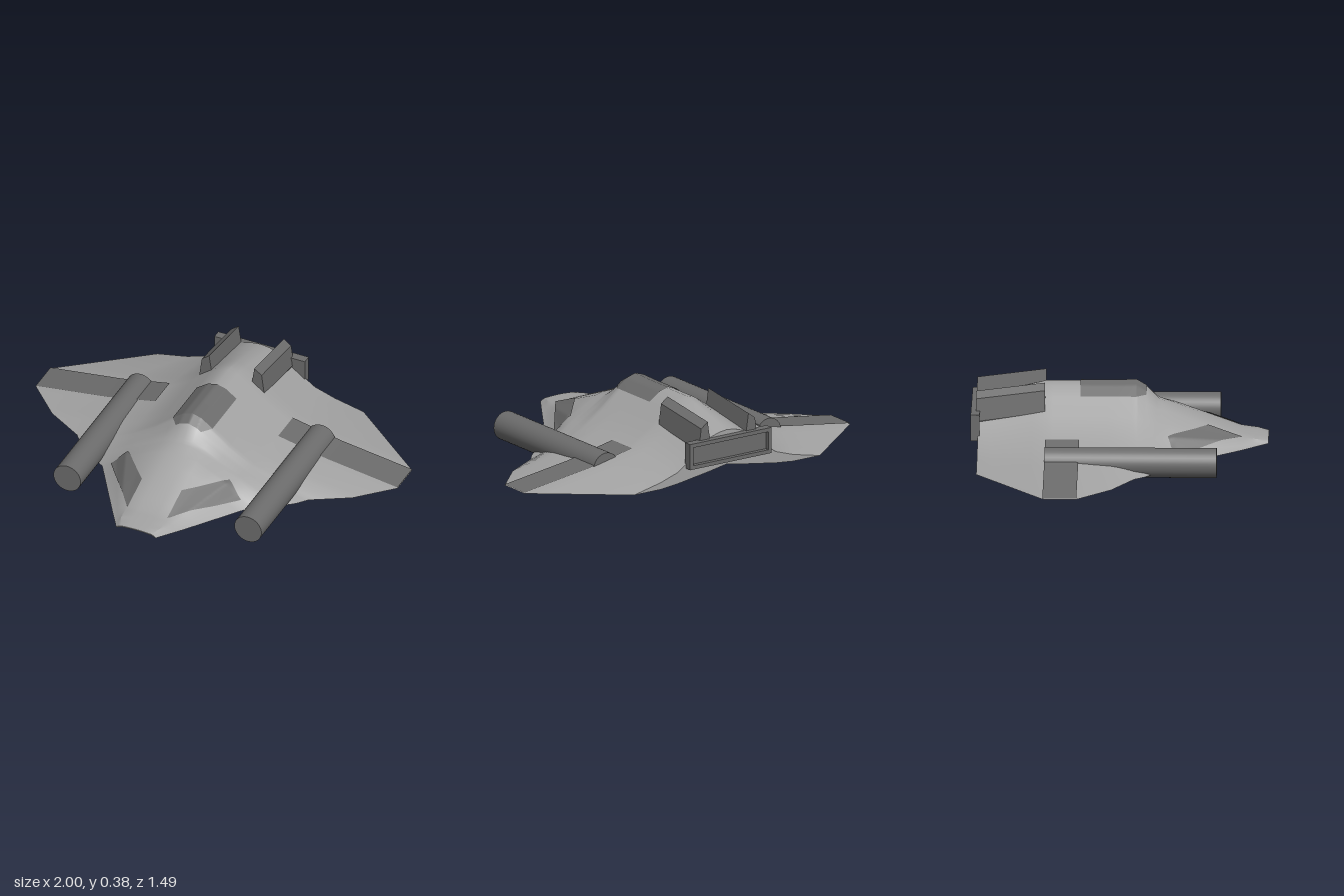
import * as THREE from 'three';
import { toCreasedNormals } from 'three/addons/utils/BufferGeometryUtils.js';

// Hull stations, rear to nose: z, half width, rim y, ridge y, shoulder y, knee x, knee y
const STATIONS = [
  [-0.71, 0.57, 0.03, 0.27, 0.245, 0.3, 0.1],
  [-0.37, 1, 0.03, 0.357, 0.3, 0.34, 0.142],
  [-0.2, 1, 0.03, 0.357, 0.3, 0.34, 0.142],
  [-0.03, 0.83, 0.03, 0.357, 0.3, 0.34, 0.142],
  [0.08, 0.64, 0.03, 0.36, 0.3, 0.33, 0.142],
  [0.13, 0.6, 0.03, 0.33, 0.27, 0.32, 0.14],
  [0.19, 0.53, 0.03, 0.268, 0.24, 0.31, 0.14],
  [0.27, 0.41, 0.035, 0.235, 0.22, 0.28, 0.14],
  [0.6, 0.2, 0.054, 0.105, 0.1, 0.15, 0.085],
  [0.74, 0.11, 0.066, 0.085, 0.081, 0.1, 0.075],
];
const lerp = THREE.MathUtils.lerp;

// Half section at any z: seven [x, y] points from the ridge to the rim
function sectionAt(z) {
  let k = 0;
  while (k < STATIONS.length - 2 && z > STATIONS[k + 1][0]) k++;
  const a = STATIONS[k], b = STATIONS[k + 1];
  const t = THREE.MathUtils.clamp((z - a[0]) / (b[0] - a[0]), 0, 1);
  const [, w, rim, ridge, shoulder, kneeX, kneeY] = a.map((v, i) => lerp(v, b[i], t));
  const shoulderX = Math.min(0.11, 0.75 * w);
  return [
    [0, ridge],
    [shoulderX * 0.45, lerp(ridge, shoulder, 0.25)],
    [shoulderX, shoulder],
    [lerp(shoulderX, kneeX, 0.42), lerp(shoulder, kneeY, 0.47)],
    [kneeX, kneeY],
    [lerp(kneeX, w, 0.4), lerp(kneeY, rim, 0.5)],
    [w, rim],
  ];
}

// Height of the upper hull
function topY(x, z) {
  const s = sectionAt(z);
  const ax = Math.abs(x);
  for (let i = 0; i < s.length - 1; i++) {
    if (ax <= s[i + 1][0]) return lerp(s[i][1], s[i + 1][1], (ax - s[i][0]) / (s[i + 1][0] - s[i][0]));
  }
  return s[s.length - 1][1];
}

// Arched underside
function bottomY(x, top) {
  const arch = x < 0.11 ? lerp(0.09, 0.07, x / 0.11) : lerp(0.07, 0.03, Math.min(1, (x - 0.11) / 0.26));
  return Math.min(arch, top - 0.006);
}

function makeGeometry(positions, index) {
  const g = new THREE.BufferGeometry();
  g.setAttribute('position', new THREE.Float32BufferAttribute(positions, 3));
  g.setIndex(index);
  return g;
}

// Hull lofted through closed rings, with end caps
function hullGeometry() {
  const positions = [], index = [], zs = [], steps = 5, n = 24;
  for (let k = 0; k < STATIONS.length - 1; k++)
    for (let j = 0; j < steps; j++) zs.push(lerp(STATIONS[k][0], STATIONS[k + 1][0], j / steps));
  zs.push(STATIONS[STATIONS.length - 1][0]);
  for (const z of zs) {
    const s = sectionAt(z);
    for (let j = 0; j < n; j++) {
      const c = j <= 12 ? 6 - j : j - 18;
      const [x, y] = s[Math.abs(c)];
      positions.push(Math.sign(c) * x, j <= 12 ? y : bottomY(x, y), z);
    }
  }
  const quad = (a, b, c, d) => index.push(a, b, c, a, c, d);
  for (let k = 0; k < zs.length - 1; k++)
    for (let i = 0; i < n; i++) {
      const i2 = (i + 1) % n;
      quad(k * n + i, k * n + i2, (k + 1) * n + i2, (k + 1) * n + i);
    }
  const last = (zs.length - 1) * n;
  const under = (j) => (n - j) % n;
  for (let j = 0; j < 12; j++) {
    quad(last + j, last + j + 1, last + under(j + 1), last + under(j));
    quad(under(j), under(j + 1), j + 1, j);
  }
  return toCreasedNormals(makeGeometry(positions, index), 0.6);
}

// Thin panel draped over the hull between four [x, z] corners
function panelGeometry([a, b, c, d], side = 1) {
  const positions = [], index = [], n = 22;
  for (let v = 0; v <= n; v++)
    for (let u = 0; u <= n; u++) {
      const at = (m) => lerp(lerp(a[m], b[m], u / n), lerp(d[m], c[m], u / n), v / n);
      const x = at(0), z = at(1);
      positions.push(x * side, topY(x, z) + 0.005, z);
      if (u < n && v < n) {
        const p = v * (n + 1) + u, q = p + n + 1;
        if (side > 0) index.push(p, q, q + 1, p, q + 1, p + 1);
        else index.push(p, q + 1, q, p, p + 1, q + 1);
      }
    }
  const g = makeGeometry(positions, index);
  g.computeVertexNormals();
  return g;
}

// Upright tail fin whose top falls toward the rear
function finGeometry(side) {
  const outline = [[0.125, 0.38], [0.165, 0.35], [0.18, 0.24], [0.16, 0.19], [0.12, 0.19], [0.11, 0.28]];
  const shape = new THREE.Shape(outline.map(([x, y]) => new THREE.Vector2(x * side, y)));
  const g = new THREE.ExtrudeGeometry(shape, { depth: 0.345, bevelEnabled: false });
  g.translate(0, 0, -0.72);
  const p = g.attributes.position;
  for (let i = 0; i < p.count; i++) p.setY(i, p.getY(i) + 0.13 * (p.getZ(i) + 0.375));
  g.computeVertexNormals();
  return g;
}

function rectangle(Type, w, h) {
  return new Type([[-w, -h], [w, -h], [w, h], [-w, h]].map(([x, y]) => new THREE.Vector2(x, y)));
}

export function createModel() {
  const model = new THREE.Group();
  const hullGrey = new THREE.MeshStandardMaterial({ color: 0xa2a2a2, side: THREE.DoubleSide });
  hullGrey.name = 'hull grey';
  const panelGrey = new THREE.MeshStandardMaterial({ color: 0x6c6c6c, side: THREE.DoubleSide });
  panelGrey.name = 'panel grey';
  const add = (name, geometry, material) => {
    const mesh = new THREE.Mesh(geometry, material);
    mesh.name = name;
    model.add(mesh);
    return mesh;
  };

  add('hull', hullGeometry(), hullGrey);

  // Canopy: straight rear part and tapered front
  add('canopyRear', panelGeometry([[-0.11, -0.2], [0.11, -0.2], [0.11, 0.08], [-0.11, 0.08]]), panelGrey);
  add('canopyFront', panelGeometry([[-0.11, 0.08], [0.11, 0.08], [0.07, 0.13], [-0.07, 0.13]]), panelGrey);

  for (const side of [1, -1]) {
    const name = side > 0 ? 'left' : 'right';
    add(name + 'NosePanel', panelGeometry([[0.11, 0.44], [0.28, 0.24], [0.36, 0.275], [0.11, 0.61]], side), panelGrey);
    add(name + 'WingStripe', panelGeometry([[0.34, -0.37], [1, -0.37], [1, -0.2], [0.34, -0.2]], side), panelGrey);
    add(name + 'Fin', finGeometry(side), panelGrey);

    // Long cylindrical pod
    const pod = add(name + 'Pod', new THREE.CylinderGeometry(0.075, 0.075, 0.86, 32), panelGrey);
    pod.rotation.x = Math.PI / 2;
    pod.position.set(0.5 * side, 0.077, 0.06);
  }

  // Flat exhaust frame with a recessed back
  const frame = rectangle(THREE.Shape, 0.25, 0.067);
  frame.holes.push(rectangle(THREE.Path, 0.23, 0.047));
  const exhaust = add('exhaustFrame', new THREE.ExtrudeGeometry(frame, { depth: 0.045, bevelEnabled: false }), panelGrey);
  exhaust.position.set(0, 0.178, -0.745);
  const back = add('exhaustBack', new THREE.BoxGeometry(0.48, 0.114, 0.02), panelGrey);
  back.position.set(0, 0.178, -0.712);

  return model;
}
